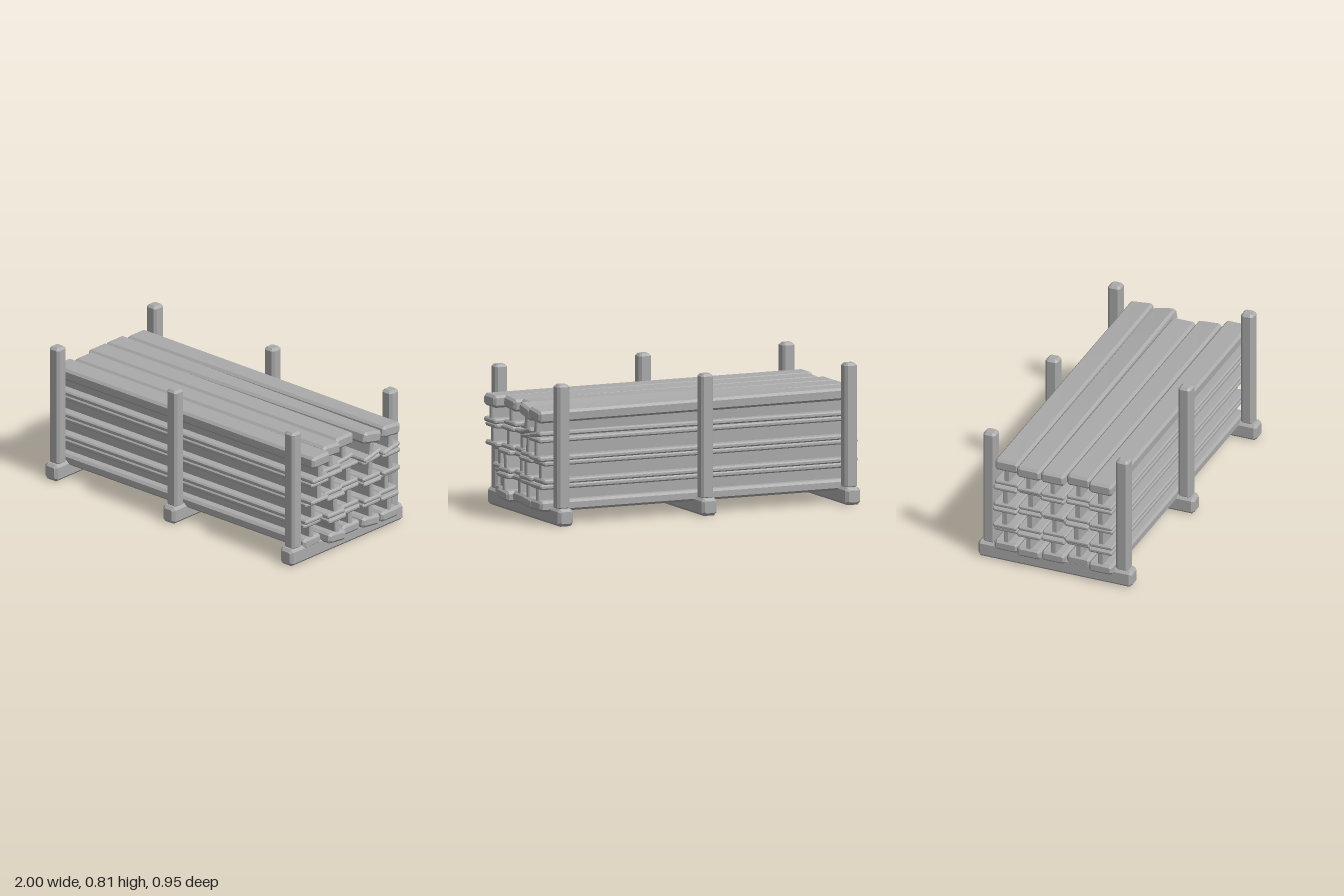
import * as THREE from 'three';

const steel = new THREE.MeshStandardMaterial({ color: 0xaaaaaa });
steel.name = 'grey';

// Chamfered bar running along x: length, height (y), depth (z), chamfer
function bar(len, h, d, c) {
  const a = d / 2 - c, b = h / 2 - c, k = Math.min(c * 0.4, a * 0.5, b * 0.5);
  const shape = new THREE.Shape([
    [-a + k, -b], [a - k, -b], [a, -b + k], [a, b - k],
    [a - k, b], [-a + k, b], [-a, b - k], [-a, -b + k],
  ].map(([x, y]) => new THREE.Vector2(x, y)));
  const geo = new THREE.ExtrudeGeometry(shape, {
    depth: len - 2 * c, bevelEnabled: true, bevelSize: c, bevelThickness: c, bevelSegments: 1, steps: 6,
  });
  geo.translate(0, 0, -(len - 2 * c) / 2);
  return geo.rotateY(Math.PI / 2);
}

// Roll the bar progressively towards its +x end
function twist(geo, len, angle) {
  if (!angle) return geo;
  const p = geo.attributes.position;
  for (let i = 0; i < p.count; i++) {
    const t = angle * (p.getX(i) / len + 0.5), y = p.getY(i), z = p.getZ(i);
    p.setY(i, y * Math.cos(t) - z * Math.sin(t));
    p.setZ(i, y * Math.sin(t) + z * Math.cos(t));
  }
  geo.computeVertexNormals();
  return geo;
}

function add(parent, name, geo, x, y, z) {
  const mesh = new THREE.Mesh(geo, steel);
  mesh.name = name;
  mesh.position.set(x, y, z);
  parent.add(mesh);
  return mesh;
}

// I-beam layers: [bottom flange from, to, top flange from, to]
const layers = [
  [0.073, 0.135, 0.2, 0.229],
  [0.229, 0.257, 0.334, 0.361],
  [0.361, 0.389, 0.468, 0.495],
  [0.495, 0.523, 0.586, 0.656],
];
// Staggered beam ends, front column to back column
const leftEnds = [
  [-1, -0.97, -0.99, -1, -0.98],
  [-0.99, -1, -0.97, -0.98, -1],
  [-1, -0.98, -1, -0.97, -0.99],
  [-1, -0.97, -1, -1, -0.97],
];
const rightEnds = [
  [0.93, 0.99, 0.96, 0.98, 0.99],
  [0.945, 0.98, 0.95, 0.99, 0.97],
  [0.99, 0.96, 0.945, 0.98, 1],
  [1, 0.945, 0.91, 0.99, 1],
];
// Rolls of [bottom flange, web, top flange] for the warped beams, keyed layer-column
const rolls = {
  '0-1': [-0.1, 0.08, 0], '0-2': [0, 0, 0], '0-3': [-0.12, 0, 0],
  '1-1': [0, 0.06, 0], '2-3': [0, -0.05, 0.1], '3-1': [0, 0, -0.08],
  '3-2': [0.12, 0, 0], '3-3': [0.22, -0.14, -0.2], '3-4': [0.18, -0.08, -0.1],
};

export function createModel() {
  const model = new THREE.Group();
  model.name = 'beamRack';

  // Rack: three cross bases, each with a pair of uprights
  for (const x of [-0.92, -0.02, 0.88]) {
    const frame = new THREE.Group();
    frame.name = 'rackFrame';
    add(frame, 'base', bar(0.945, 0.1, 0.095, 0.016), x, 0.05, 0).rotation.y = Math.PI / 2;
    for (const side of [-1, 1]) {
      add(frame, 'post', bar(0.717, 0.076, 0.076, 0.014), x, 0.449, side * 0.408).rotation.z = Math.PI / 2;
    }
    model.add(frame);
  }

  // Stack of I-beams
  layers.forEach(([b0, b1, t0, t1], row) => {
    for (let col = 0; col < 5; col++) {
      const beam = new THREE.Group();
      beam.name = 'iBeam';
      const l = leftEnds[row][col], r = rightEnds[row][col];
      const len = r - l, x = (l + r) / 2, z = 0.294 - col * 0.147;
      const [rb, rw, rt] = rolls[`${row}-${col}`] || [0, 0, 0];
      const flange = (h) => bar(len, h, 0.146, h > 0.05 ? 0.014 : 0.009);
      add(beam, 'bottomFlange', twist(flange(b1 - b0), len, rb), x, (b0 + b1) / 2, z);
      add(beam, 'topFlange', twist(flange(t1 - t0), len, rt), x, (t0 + t1) / 2, z);
      add(beam, 'web', twist(bar(len - 0.02, t0 - b1 + 0.02, 0.034, 0.005), len, rw), x, (b1 + t0) / 2, z);
      model.add(beam);
    }
  });
  return model;
}
